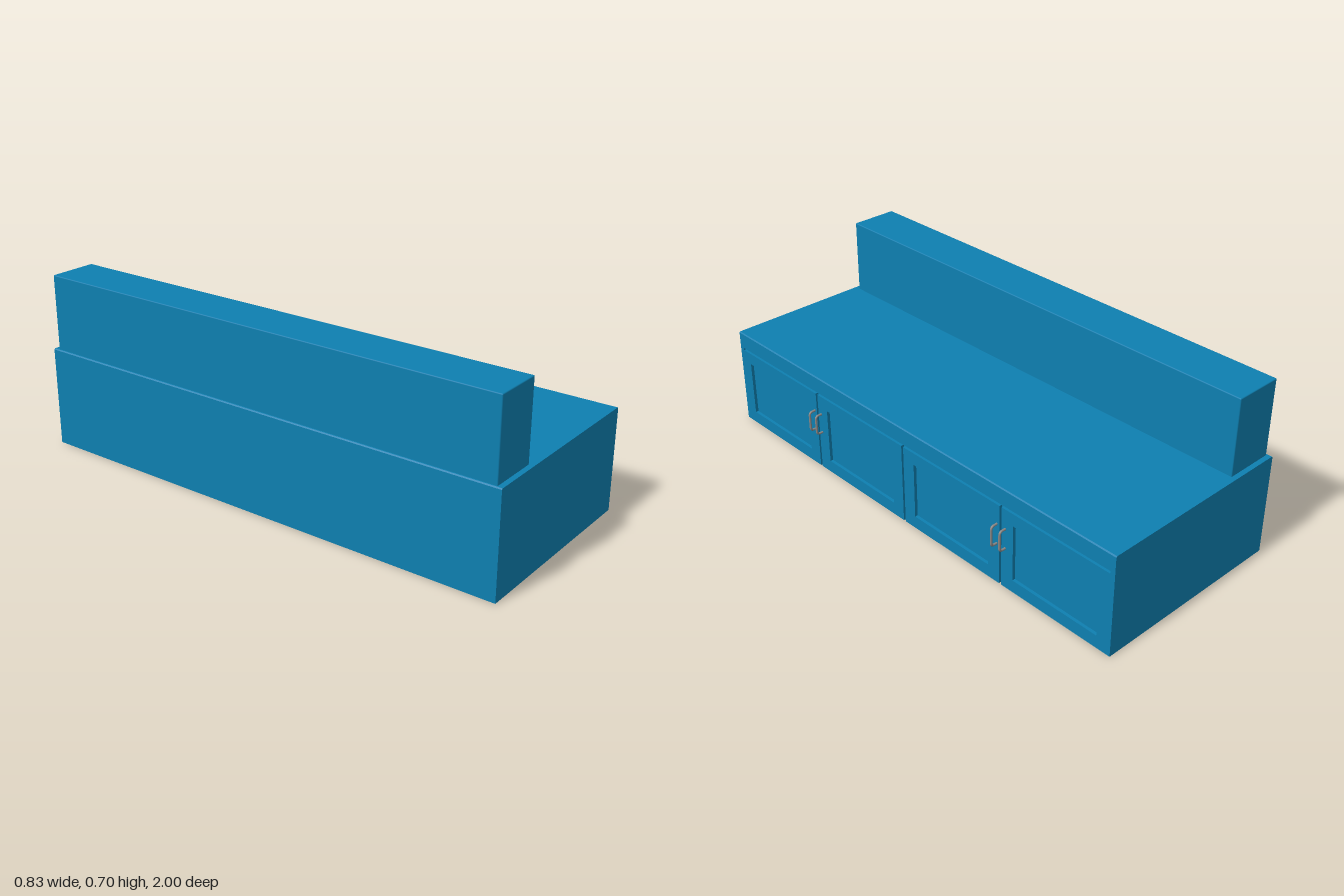
import * as THREE from 'three';
import { RoundedBoxGeometry } from 'three/addons/geometries/RoundedBoxGeometry.js';

const FACE = 0.383, RECESS = 0.371, BACK = -0.415;

// Rectangle outline used for door frames and their openings
function rect(Type, x0, x1, y0, y1) {
  return new Type([[x0, y0], [x1, y0], [x1, y1], [x0, y1]].map(p => new THREE.Vector2(...p)));
}

export function createModel() {
  const model = new THREE.Group();
  model.name = 'storageBench';
  const paint = new THREE.MeshStandardMaterial({ color: 0x0e7fb0 });
  const metal = new THREE.MeshStandardMaterial({ color: 0x888888 });

  function add(name, geometry, material, x = 0, y = 0, z = 0) {
    const mesh = new THREE.Mesh(geometry, material);
    mesh.name = name;
    mesh.position.set(x, y, z);
    model.add(mesh);
    return mesh;
  }

  // Carcass: side profile with eased top edges and a step that leaves the top rail proud
  const b = 0.004;
  const profile = new THREE.Shape([
    [BACK, 0], [RECESS, 0], [RECESS, 0.334], [FACE, 0.334],
    [FACE, 0.4 - b], [FACE - b, 0.4], [BACK + b, 0.4], [BACK, 0.4 - b],
  ].map(p => new THREE.Vector2(...p)));
  add('carcass', new THREE.ExtrudeGeometry(profile, { depth: 2, bevelEnabled: false }), paint, 0, 0, -1);

  // Backrest standing along the rear
  add('backrest', new RoundedBoxGeometry(0.194, 0.304, 1.96, 2, 0.004), paint, -0.31, 0.548, 0);

  // End stiles closing the groove under the rail
  for (const side of [-1, 1]) {
    add('endStile', new THREE.BoxGeometry(FACE - RECESS, 0.334, 0.02), paint,
      (FACE + RECESS) / 2, 0.167, side * 0.99);
  }

  // Four doors: frames around recessed panels
  for (const centre of [-0.75, -0.25, 0.25, 0.75]) {
    const outer = Math.abs(centre) > 0.5;
    const near = -0.245, far = outer ? 0.23 : 0.245; // outer doors meet the stile
    const s = -Math.sign(centre);
    const ends = [s * near, s * far].sort((p, q) => p - q);
    const frame = rect(THREE.Shape, ends[0], ends[1], 0, 0.324);
    frame.holes.push(rect(THREE.Path, -0.19, 0.19, 0.05, 0.275));
    const geometry = new THREE.ExtrudeGeometry(frame, { depth: FACE - RECESS, bevelEnabled: false });
    geometry.rotateY(Math.PI / 2);
    add('doorFrame', geometry, paint, RECESS, 0, centre);
  }

  // Bent bar handles in pairs beside the door gaps
  const V = (x, y) => new THREE.Vector3(x, y, 0);
  const path = new THREE.CurvePath();
  const xo = 0.409, lo = 0.165, hi = 0.245, r = 0.013;
  path.add(new THREE.LineCurve3(V(FACE - 0.003, hi), V(xo - r, hi)));
  path.add(new THREE.QuadraticBezierCurve3(V(xo - r, hi), V(xo, hi), V(xo, hi - r)));
  path.add(new THREE.LineCurve3(V(xo, hi - r), V(xo, lo + r)));
  path.add(new THREE.QuadraticBezierCurve3(V(xo, lo + r), V(xo, lo), V(xo - r, lo)));
  path.add(new THREE.LineCurve3(V(xo - r, lo), V(FACE - 0.003, lo)));
  const bar = new THREE.TubeGeometry(path, 48, 0.0045, 12, false);
  for (const z of [-0.523, -0.483, 0.478, 0.517]) add('handle', bar, metal, 0, 0, z);

  return model;
}
